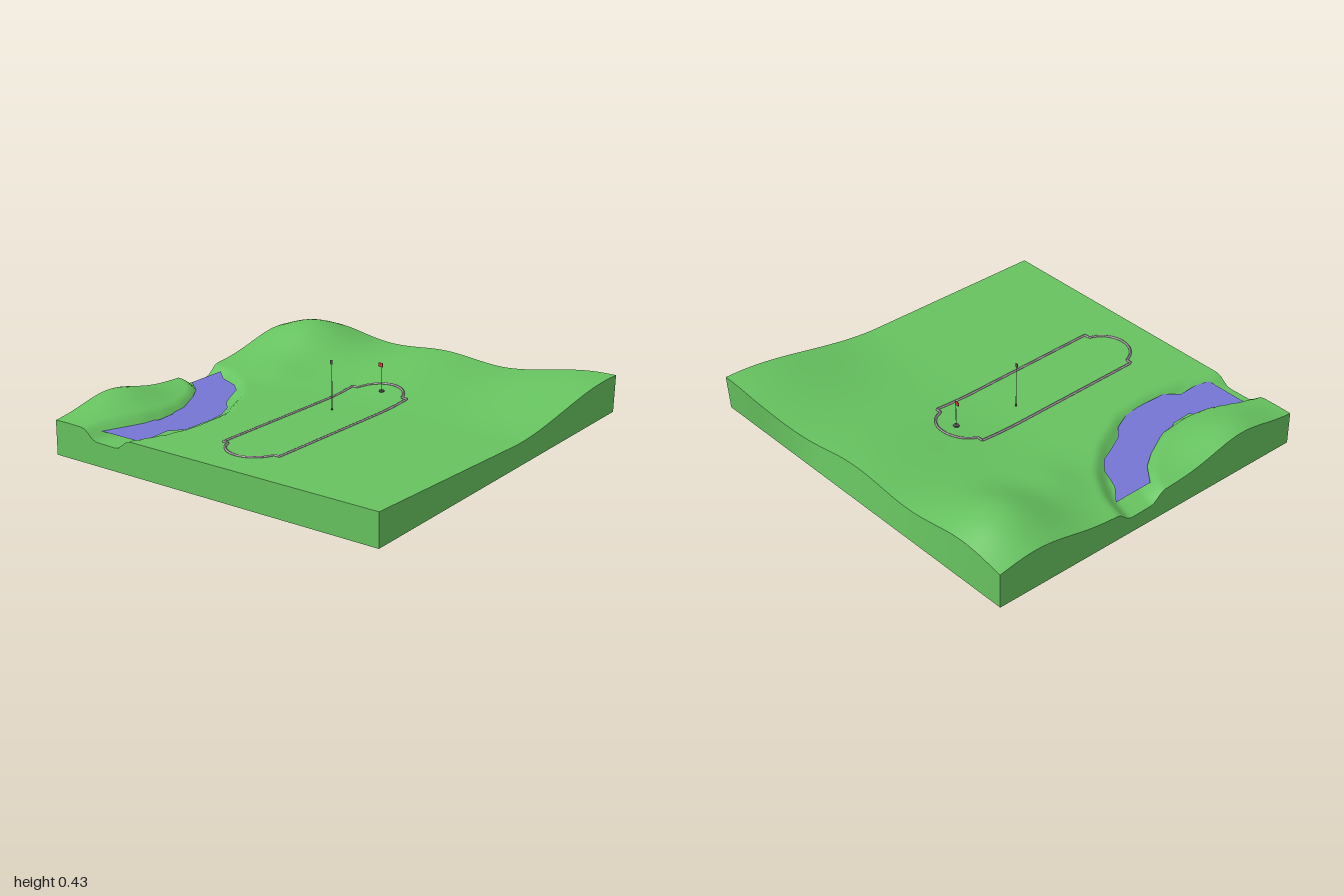
import * as THREE from 'three';

const mat = (color, side = THREE.FrontSide) => new THREE.MeshStandardMaterial({ color, side });
const smooth = (a, b, v) => THREE.MathUtils.smoothstep(v, a, b);
const bell = (v, centre, spread) => Math.exp(-(((v - centre) / spread) ** 2) / 2);

// Centre line of the stream bed, as [x, z]
const stream = [[-1.1, -0.69], [-0.93, -0.645], [-0.75, -0.57], [-0.6, -0.545], [-0.4, -0.56],
  [-0.2, -0.655], [-0.06, -0.77], [0.02, -0.9], [0.08, -1.1]];

function streamDistance(x, z) {
  let best = Infinity;
  for (let i = 0; i < stream.length - 1; i++) {
    const [ax, az] = stream[i], [bx, bz] = stream[i + 1];
    const dx = bx - ax, dz = bz - az;
    const t = THREE.MathUtils.clamp(((x - ax) * dx + (z - az) * dz) / (dx * dx + dz * dz), 0, 1);
    best = Math.min(best, Math.hypot(x - ax - t * dx, z - az - t * dz));
  }
  return best;
}

// Ground height: flat field, rise on the +x side, two back hills, stream bed
function ground(x, z) {
  const ridge = 0.045 + 0.038 * bell(z, 0, 0.19) + 0.075 * smooth(0.3, 0.95, z);
  let y = 0.173 + smooth(0.05, 0.95, x) * ridge;
  y += 0.13 * bell(x, 0.7, 0.2) * bell(z, -0.75, 0.2);
  y += 0.02 * bell(x, 0.26, 0.1) * bell(z, -0.62, 0.12);
  y += 0.08 * bell(x, -0.63, 0.18) * bell(z, -0.93, 0.14);
  return y - 0.052 * (1 - smooth(0.065, 0.15, streamDistance(x, z)));
}

// Slab: a subdivided box, its top following the ground and its base tilted
function makeTerrain() {
  const geo = new THREE.BoxGeometry(2, 2, 2, 80, 1, 80);
  const p = geo.attributes.position;
  for (let i = 0; i < p.count; i++) {
    const u = (p.getX(i) + 1) / 2, v = (p.getZ(i) + 1) / 2;
    const top = p.getY(i) > 0;
    const z = -1 + v * (1.97 + 0.03 * u);
    const edge = top ? 0.937 + 0.063 * smooth(0.1, 0.85, z) : 0.937 + 0.05 * v;
    const x = -1 + u * (edge + 1);
    p.setXYZ(i, x, top ? ground(x, z) : u * (0.055 + 0.045 * v), z);
  }
  geo.computeVertexNormals();
  return new THREE.Mesh(geo, mat(0x66c25f));
}

// Water: thin sheet with a wandering outline, rising gently toward the back
function makeWater() {
  const outline = [[-0.93, -0.78], [-0.84, -0.755], [-0.77, -0.7], [-0.7, -0.69], [-0.64, -0.645],
    [-0.53, -0.65], [-0.46, -0.695], [-0.4, -0.685], [-0.27, -0.75], [-0.18, -0.81], [-0.1, -0.91],
    [0.13, -0.91], [0.05, -0.82], [0, -0.7], [-0.06, -0.635], [-0.14, -0.6], [-0.24, -0.55],
    [-0.3, -0.49], [-0.4, -0.445], [-0.5, -0.435], [-0.67, -0.44], [-0.74, -0.5], [-0.85, -0.495],
    [-0.93, -0.515]];
  const shape = new THREE.Shape(outline.map(([x, z]) => new THREE.Vector2(x, -z)));
  const geo = new THREE.ShapeGeometry(shape).rotateX(-Math.PI / 2);
  const p = geo.attributes.position;
  for (let i = 0; i < p.count; i++) p.setY(i, 0.155 + 0.011 * (p.getX(i) + 0.93));
  geo.computeVertexNormals();
  return new THREE.Mesh(geo, mat(0x7575d4, THREE.DoubleSide));
}

// Track: long rails with stepped corners and rounded ends, laid on the ground
function makeTrack() {
  const cx = -0.215, cz = 0.022, half = 0.513, side = 0.173, r = 0.145, reach = 1.31;
  const pts = [];
  for (const s of [1, -1]) {
    pts.push([cx + s * half, cz - s * side]);
    for (let i = 0; i <= 16; i++) {
      const a = -reach + (2 * reach * i) / 16;
      pts.push([cx + s * (half - 0.037 + r * Math.cos(a)), cz + s * r * Math.sin(a)]);
    }
    pts.push([cx + s * half, cz + s * side]);
  }
  const path = new THREE.CurvePath();
  pts.forEach(([x, z], i) => {
    const [nx, nz] = pts[(i + 1) % pts.length];
    path.add(new THREE.LineCurve3(new THREE.Vector3(x, 0, z), new THREE.Vector3(nx, 0, nz)));
  });
  const geo = new THREE.TubeGeometry(path, 400, 0.007, 6, true);
  const p = geo.attributes.position;
  for (let i = 0; i < p.count; i++) {
    p.setY(i, p.getY(i) * 0.7 + ground(p.getX(i), p.getZ(i)) + 0.003);
  }
  geo.computeVertexNormals();
  return new THREE.Mesh(geo, mat(0xb5a5b2));
}

// Flag on a thin pole, with a small foot
function makeFlag(x, z, top, flagSize, flagShift, flagColor, footRadius) {
  const flag = new THREE.Group();
  const base = ground(x, z);
  const add = (name, geo, color, px, py, pz) => {
    const mesh = new THREE.Mesh(geo, mat(color));
    mesh.name = name;
    mesh.position.set(px, py, pz);
    flag.add(mesh);
  };
  add('pole', new THREE.CylinderGeometry(0.0018, 0.0018, top - base, 8), 0x888888, x, (top + base) / 2, z);
  add('foot', new THREE.CylinderGeometry(footRadius, footRadius, 0.008, 16), 0x555555, x, base + 0.002, z);
  add('cloth', new THREE.BoxGeometry(0.003, ...flagSize), flagColor, x, top - flagSize[0] / 2, z + flagShift);
  return flag;
}

export function createModel() {
  const model = new THREE.Group();
  const parts = {
    terrain: makeTerrain(),
    streamWater: makeWater(),
    track: makeTrack(),
    tallFlag: makeFlag(-0.032, -0.032, 0.433, [0.022, 0.012], -0.004, 0x555555, 0.005),
    shortFlag: makeFlag(0.317, 0.022, 0.342, [0.022, 0.026], -0.008, 0xcc3333, 0.015),
  };
  for (const [name, part] of Object.entries(parts)) {
    part.name = name;
    model.add(part);
  }
  return model;
}
